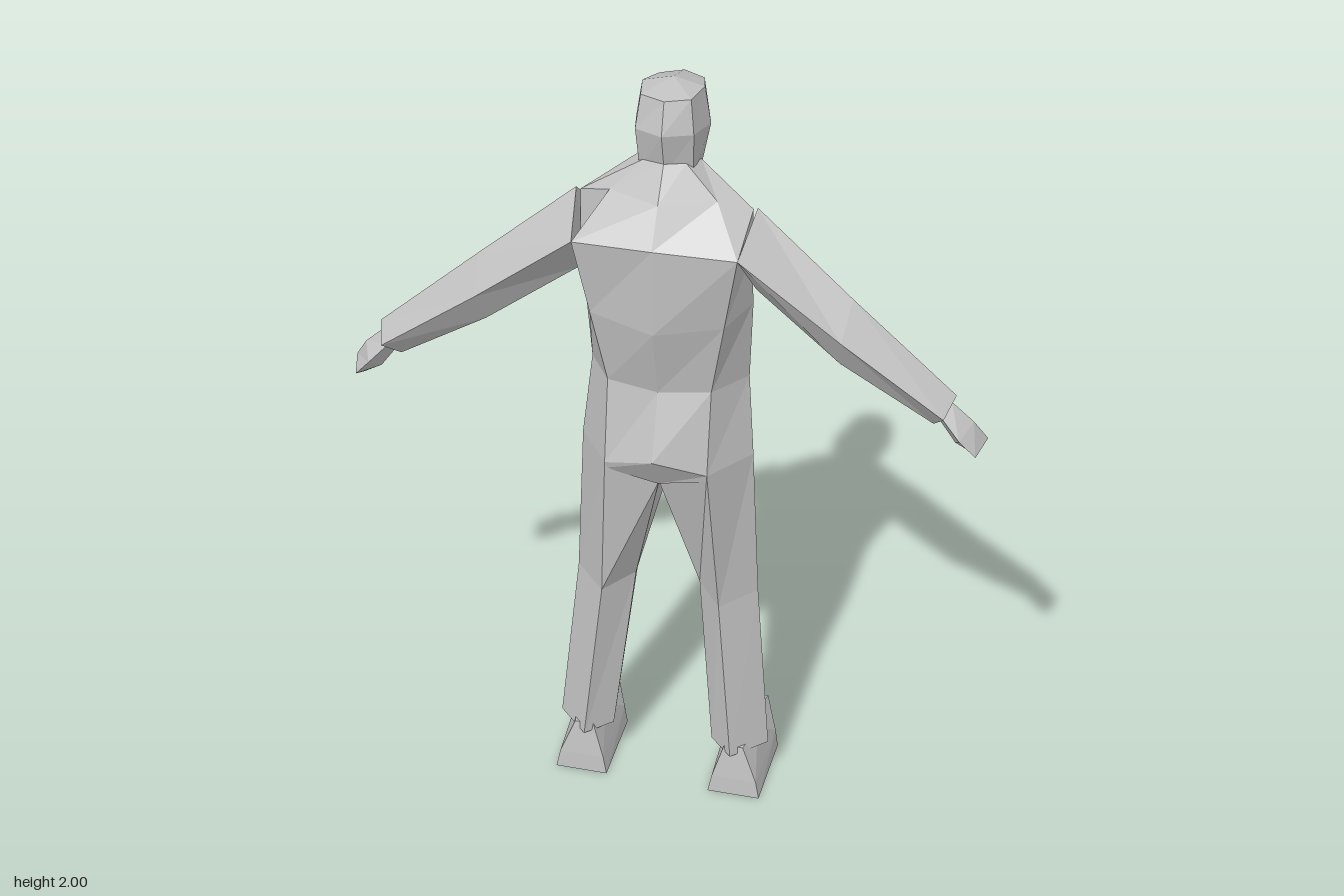
import * as THREE from 'three';

const grey = new THREE.MeshStandardMaterial({ color: 0xc0c0c0, flatShading: true });
grey.name = 'grey';

// Skin closed rings of points, fanning both ends to a centre point
function loft(rings, endTip) {
  const pos = [], n = rings[0].length;
  const tri = (a, b, c) => pos.push(...a, ...b, ...c);
  const centre = (r) => [0, 1, 2].map((k) => r.reduce((s, p) => s + p[k], 0) / n);
  for (let j = 0; j < rings.length - 1; j++) {
    const a = rings[j], b = rings[j + 1];
    for (let i = 0; i < n; i++) {
      const k = (i + 1) % n;
      tri(a[i], a[k], b[k]);
      tri(a[i], b[k], b[i]);
    }
  }
  const first = rings[0], last = rings[rings.length - 1];
  const c0 = centre(first), c1 = endTip || centre(last);
  for (let i = 0; i < n; i++) {
    const k = (i + 1) % n;
    tri(first[k], first[i], c0);
    tri(last[i], last[k], c1);
  }
  const g = new THREE.BufferGeometry();
  g.setAttribute('position', new THREE.Float32BufferAttribute(pos, 3));
  g.computeVertexNormals();
  return g;
}

const flip = ([x, y, z]) => [-x, y, z];
// Complete a half ring that starts and ends on the centre line
const whole = (half) => [...half, ...half.slice(1, -1).reverse().map(flip)];

export function createModel() {
  const model = new THREE.Group();
  const add = (name, geometry) => {
    const m = new THREE.Mesh(geometry, grey);
    m.name = name;
    model.add(m);
  };
  // Left part plus its mirror image
  const pair = (name, rings, tip) => {
    add('left' + name, loft(rings, tip));
    add('right' + name, loft(rings.map((r) => r.map(flip).reverse()), tip && flip(tip)));
  };

  // Torso, from hips to collar
  add('torso', loft([
    [[0, 0.96, 0.13], [0.13, 1.0, 0.15], [0.22, 1.0, 0.03], [0.14, 1.0, -0.12], [0, 0.96, -0.14]],
    [[0, 1.06, 0.19], [0.13, 1.02, 0.155], [0.22, 1.02, 0.03], [0.14, 1.02, -0.12], [0, 1.03, -0.155]],
    [[0, 1.23, 0.13], [0.13, 1.24, 0.115], [0.2, 1.23, 0], [0.13, 1.22, -0.14], [0, 1.2, -0.165]],
    [[0, 1.42, 0.18], [0.165, 1.44, 0.14], [0.21, 1.45, 0.02], [0.13, 1.46, -0.125], [0, 1.48, -0.15]],
    [[0, 1.65, 0.185], [0.2, 1.64, 0.165], [0.21, 1.6, 0.05], [0.17, 1.62, -0.07], [0, 1.6, -0.115]],
    [[0, 1.74, 0.125], [0.13, 1.74, 0.07], [0.21, 1.715, 0.04], [0.12, 1.72, -0.04], [0, 1.72, -0.065]],
    [[0, 1.82, 0.068], [0.05, 1.82, 0.05], [0.075, 1.81, 0], [0.05, 1.76, -0.05], [0, 1.75, -0.06]],
  ].map(whole)));

  // Head with chin and shallow crown
  add('head', loft([
    [[0, 1.79, 0.06], [0.065, 1.79, 0.04], [0.07, 1.79, -0.03], [0.04, 1.75, -0.1], [0, 1.745, -0.12]],
    [[0, 1.9, 0.088], [0.07, 1.9, 0.06], [0.09, 1.89, -0.03], [0.065, 1.85, -0.125], [0, 1.83, -0.15]],
    [[0, 1.978, 0.063], [0.06, 1.982, 0.045], [0.075, 1.982, -0.03], [0.055, 1.965, -0.11], [0, 1.965, -0.14]],
  ].map(whole), [0, 2, -0.03]));

  // Trouser legs, hem to hip
  pair('Leg', [
    [[0.135, 0.13, 0.09], [0.2, 0.13, 0.155], [0.285, 0.13, 0.07], [0.25, 0.13, -0.03], [0.16, 0.13, -0.03]],
    [[0.085, 0.6, 0.03], [0.155, 0.59, 0.115], [0.24, 0.6, 0.03], [0.2, 0.6, -0.07], [0.1, 0.6, -0.075]],
    [[0, 0.96, 0.12], [0.13, 1.02, 0.155], [0.22, 1.02, 0.03], [0.14, 1.02, -0.12], [0, 0.96, -0.14]],
  ]);

  // Sleeves, shoulder to cuff
  pair('Arm', [
    [[0.2, 1.64, 0.165], [0.22, 1.5, 0.04], [0.2, 1.62, -0.065], [0.22, 1.72, 0.04]],
    [[0.45, 1.45, 0.158], [0.44, 1.36, 0.1], [0.45, 1.44, 0.01], [0.46, 1.527, 0.075]],
    [[0.7, 1.27, 0.147], [0.67, 1.22, 0.09], [0.69, 1.25, 0.03], [0.72, 1.305, 0.085]],
  ]);

  // Mitten-like hands
  pair('Hand', [
    [[0.69, 1.26, 0.12], [0.68, 1.235, 0.085], [0.69, 1.25, 0.045], [0.71, 1.285, 0.085]],
    [[0.74, 1.21, 0.14], [0.725, 1.175, 0.09], [0.75, 1.2, 0.02], [0.765, 1.235, 0.08]],
    [[0.78, 1.165, 0.13], [0.77, 1.15, 0.09], [0.78, 1.16, 0.045], [0.8, 1.18, 0.06]],
  ]);

  // Shoes: sole, side and ankle rings, toe pointing away from the heel
  pair('Shoe', [
    [[0.14, 0, 0.155], [0.28, 0, 0.155], [0.285, 0, -0.07], [0.235, 0, -0.19], [0.19, 0, -0.19], [0.14, 0, -0.07]],
    [[0.15, 0.05, 0.15], [0.27, 0.05, 0.15], [0.28, 0.06, -0.06], [0.23, 0.065, -0.195], [0.2, 0.065, -0.195], [0.145, 0.06, -0.06]],
    [[0.18, 0.15, 0.135], [0.23, 0.15, 0.135], [0.25, 0.15, 0.04], [0.23, 0.145, -0.02], [0.19, 0.145, -0.02], [0.17, 0.15, 0.04]],
  ]);

  return model;
}
